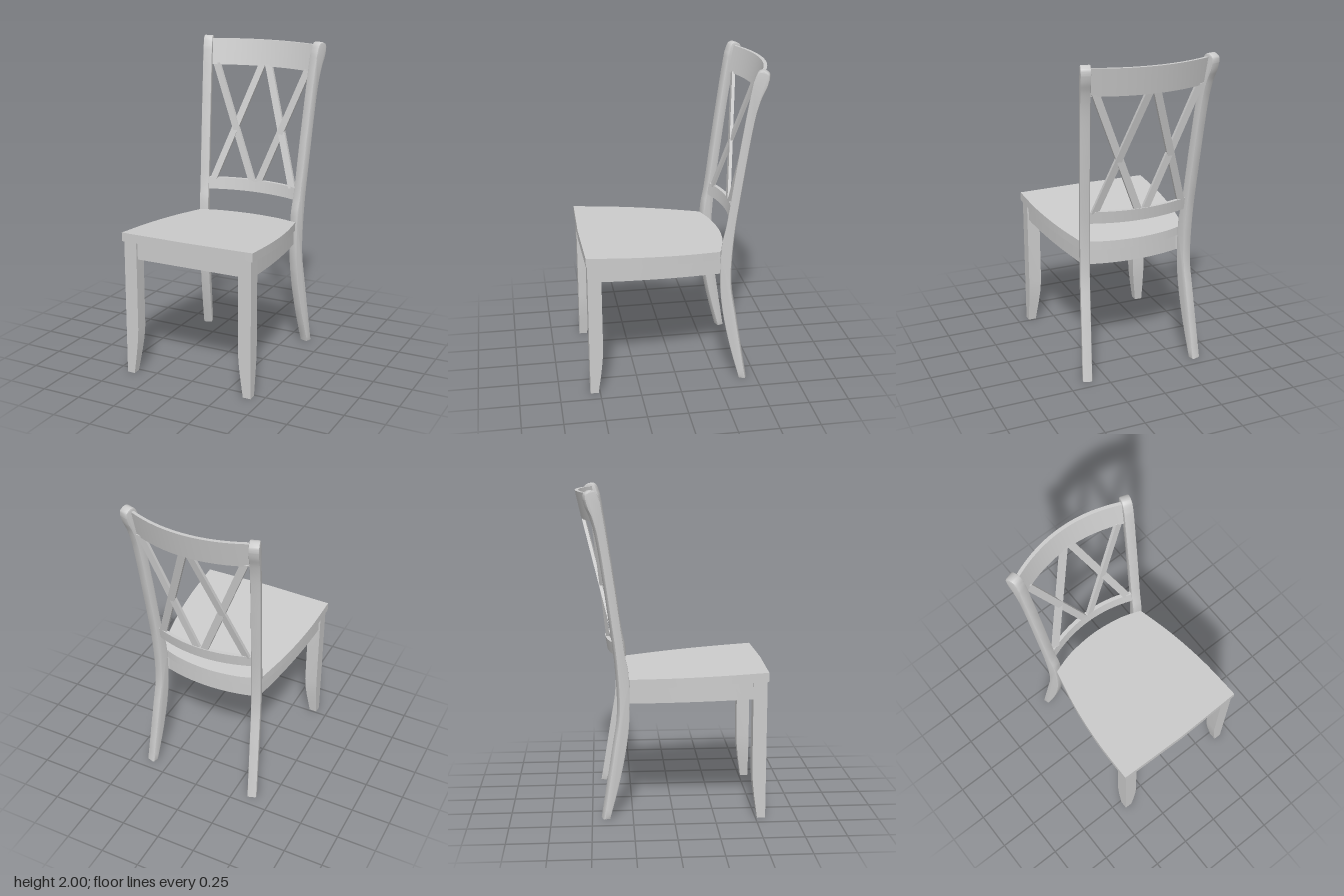
import * as THREE from 'three';
import { toCreasedNormals } from 'three/addons/utils/BufferGeometryUtils.js';

const material = new THREE.MeshStandardMaterial({ color: 0xcccccc });

// Closed solid through a row of four-cornered sections
function loft(sections) {
  const pos = sections.flat(2), index = [], last = (sections.length - 1) * 4;
  for (let s = 0; s < last; s += 4) {
    for (let k = 0; k < 4; k++) {
      const a = s + k, b = s + (k + 1) % 4;
      index.push(a, b, b + 4, a, b + 4, a + 4);
    }
  }
  index.push(0, 2, 1, 0, 3, 2, last, last + 1, last + 2, last, last + 2, last + 3);
  // Turn the faces outward if the sections run the other way
  const p = (i) => new THREE.Vector3().fromArray(pos, i * 3);
  let volume = 0;
  for (let i = 0; i < index.length; i += 3) {
    volume += p(index[i]).dot(p(index[i + 1]).cross(p(index[i + 2])));
  }
  if (volume < 0) index.reverse();
  const g = new THREE.BufferGeometry();
  g.setAttribute('position', new THREE.Float32BufferAttribute(pos, 3));
  g.setIndex(index);
  return toCreasedNormals(g, 0.5);
}

const steps = (n, fn) => Array.from({ length: n + 1 }, (_, i) => fn(i / n));
const seatBottom = (z) => 0.827 + 0.065 * z;
const apronBottom = (z) => 0.727 + 0.05 * z;

// Bowed back rail, leaning backwards by `lean` over its height
function bowedRail(half, y0, y1, zBack, lean, thick) {
  return loft(steps(20, (t) => {
    const x = (2 * t - 1) * half, z = zBack + 0.62 * x * x;
    return [[x, y0, z + lean], [x, y1, z], [x, y1, z + thick], [x, y0, z + lean + thick]];
  }));
}

// Straight flat slat between two points, cut level at both ends
function slat(a, b) {
  const w = 0.024, d = 0.01;
  return loft([a, b].map(([x, y, z]) => [
    [x - w, y, z - d], [x + w, y, z - d], [x + w, y, z + d], [x - w, y, z + d]]));
}

function seatGeometry() {
  const v = (x, z) => new THREE.Vector2(x, -z);
  const s = new THREE.Shape();
  s.moveTo(-0.44, -0.567);
  s.lineTo(0, -0.577);
  s.lineTo(0.44, -0.567);
  s.splineThru([v(0.432, 0.28), v(0.4, 0), v(0.345, -0.265)]);
  s.splineThru([v(0.2, -0.312), v(0, -0.333), v(-0.2, -0.312), v(-0.345, -0.265)]);
  s.splineThru([v(-0.4, 0), v(-0.432, 0.28), v(-0.44, 0.567)]);
  const g = new THREE.ExtrudeGeometry(s, { depth: 0.055, bevelEnabled: false, curveSegments: 8 });
  g.rotateX(-Math.PI / 2);
  // Slope the slab down towards the back
  const p = g.attributes.position;
  for (let i = 0; i < p.count; i++) p.setY(i, p.getY(i) + seatBottom(p.getZ(i)));
  return toCreasedNormals(g, 0.5);
}

// Back leg and post in one sabre-shaped piece, turned outwards to the rear
function postGeometry() {
  const v = (u, y) => new THREE.Vector2(u, y);
  const s = new THREE.Shape();
  s.moveTo(0.398, 0);
  s.lineTo(0.437, 0);
  s.splineThru([v(0.37, 0.42), v(0.336, 0.66), v(0.347, 0.945), v(0.382, 1.235),
    v(0.442, 1.66), v(0.478, 1.82), v(0.51, 1.9), v(0.523, 1.95)]);
  s.splineThru([v(0.519, 1.982), v(0.485, 2.0), v(0.456, 1.985), v(0.435, 1.93)]);
  s.splineThru([v(0.408, 1.77), v(0.353, 1.4), v(0.305, 1.05), v(0.278, 0.9),
    v(0.273, 0.65), v(0.293, 0.45), v(0.338, 0.225), v(0.398, 0)]);
  const bevel = 0.007;
  const g = new THREE.ExtrudeGeometry(s, {
    depth: 0.06 - 2 * bevel, curveSegments: 4, bevelSize: bevel, bevelThickness: bevel,
    bevelOffset: -bevel, bevelSegments: 2,
  });
  const p = g.attributes.position;
  for (let i = 0; i < p.count; i++) {
    const u = p.getX(i), w = p.getZ(i) - 0.03 + bevel;
    p.setX(i, 0.325 + 0.31 * (u - 0.27) + 0.95 * w);
    p.setZ(i, -u + 0.3 * w);
  }
  // The skew turns the solid inside out, so swap two corners of each face
  const a = p.array;
  for (let i = 0; i < a.length; i += 9) {
    for (let k = 3; k < 6; k++) [a[i + k], a[i + k + 3]] = [a[i + k + 3], a[i + k]];
  }
  return g;
}

// Mirror a geometry to the other side, keeping its faces outward
function mirrored(geometry) {
  const g = geometry.clone();
  g.scale(-1, 1, 1);
  const a = g.attributes.position.array;
  for (let i = 0; i < a.length; i += 9) {
    for (let k = 3; k < 6; k++) [a[i + k], a[i + k + 3]] = [a[i + k + 3], a[i + k]];
  }
  return toCreasedNormals(g, 0.6);
}

// True when the faces of an unindexed solid point outward
function facesOut(g) {
  const p = g.attributes.position, q = [0, 1, 2].map(() => new THREE.Vector3());
  let volume = 0;
  for (let i = 0; i < p.count; i += 3) {
    q.forEach((c, k) => c.fromBufferAttribute(p, i + k));
    volume += q[0].dot(q[1].clone().cross(q[2]));
  }
  return volume > 0;
}

export function createModel() {
  const chair = new THREE.Group();
  chair.name = 'chair';
  const add = (name, geometry) => {
    const mesh = new THREE.Mesh(geometry, material);
    mesh.name = name;
    chair.add(mesh);
  };
  const addPair = (name, geometry) => {
    const right = mirrored(geometry);
    add(name + 'Left', mirrored(right));
    add(name + 'Right', right);
  };

  add('seat', seatGeometry());

  // Front legs: square, tapering on the two inner faces near the floor
  addPair('frontLeg', loft([[0, 0.05], [0.07, 0.06], [0.14, 0.07], [0.22, 0.079], [0.3, 0.084], [0.87, 0.084]]
    .map(([y, w]) => [[0.428, y, 0.56], [0.428 - w, y, 0.56], [0.428 - w, y, 0.56 - w], [0.428, y, 0.56 - w]])));

  // Back legs
  const post = postGeometry();
  if (!facesOut(post)) {
    const a = post.attributes.position.array;
    for (let i = 0; i < a.length; i += 9) {
      for (let k = 3; k < 6; k++) [a[i + k], a[i + k + 3]] = [a[i + k + 3], a[i + k]];
    }
  }
  addPair('backPost', post);

  // Aprons under the seat
  const apronSection = (xo, zo, xi, zi) => [
    [xo, apronBottom(zo), zo], [xo, seatBottom(zo) + 0.01, zo],
    [xi, seatBottom(zi) + 0.01, zi], [xi, apronBottom(zi), zi]];
  add('frontApron', loft([-0.36, 0.36].map((x) => apronSection(x, 0.545, x, 0.5))));
  addPair('sideApron', loft(steps(10, (t) => {
    const z = 0.5 - 0.78 * t, x = 0.418 - 0.018 * t - 0.07 * t * t;
    return apronSection(x, z, x - 0.045, z);
  })));
  add('backApron', loft(steps(16, (t) => {
    const x = (2 * t - 1) * 0.32, z = -0.318 + 0.45 * x * x;
    return apronSection(x, z, x, z + 0.045);
  })));

  // Back rest: two bowed rails with a pair of crossed slats on each side
  add('topRail', bowedRail(0.385, 1.813, 1.98, -0.582, 0.037, 0.022));
  add('lowerRail', bowedRail(0.335, 1.0, 1.077, -0.407, 0.012, 0.025));
  addPair('outwardSlat', slat([0.023, 1.065, -0.39], [0.327, 1.825, -0.472]));
  addPair('inwardSlat', slat([0.285, 1.065, -0.342], [0.023, 1.825, -0.535]));
  return chair;
}
